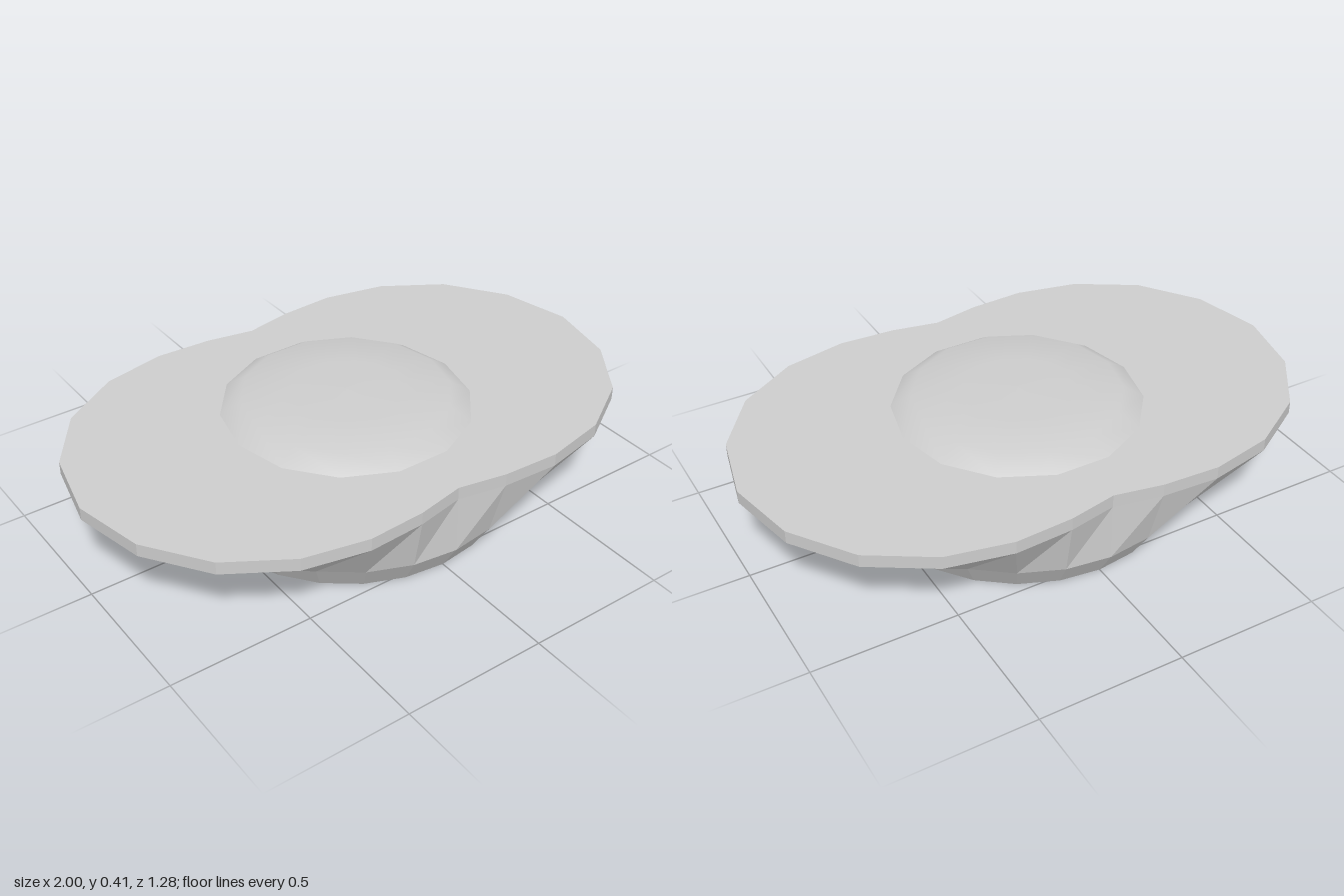
import * as THREE from 'three';

const SIDES = 24;
// Rim radius every 15 degrees, from the long axis (x) to the waist (z)
const RIM = [1, 0.978, 0.923, 0.836, 0.737, 0.65, 0.595];
const rimRadius = (i) => {
  const k = i % 12;
  return RIM[k <= 6 ? k : 12 - k];
};

// Flat-faced skin through a stack of rings, listed from bottom to top
function loft(rings) {
  const pos = [];
  const point = ([y, radius], i) => {
    const a = (i % SIDES) / SIDES * Math.PI * 2;
    const r = radius(i % SIDES);
    return [Math.cos(a) * r, y, Math.sin(a) * r];
  };
  for (let j = 0; j < rings.length - 1; j++) {
    const [low, high] = [rings[j], rings[j + 1]];
    for (let i = 0; i < SIDES; i++) {
      const a = point(low, i), b = point(low, i + 1);
      const c = point(high, i), d = point(high, i + 1);
      if (low[1](i) > 0) pos.push(...a, ...c, ...b);
      if (high[1](i) > 0) pos.push(...b, ...c, ...d);
    }
  }
  const geo = new THREE.BufferGeometry();
  geo.setAttribute('position', new THREE.Float32BufferAttribute(pos, 3));
  geo.computeVertexNormals();
  return geo;
}

export function createModel() {
  const group = new THREE.Group();
  const grey = new THREE.MeshStandardMaterial({ color: 0xcccccc });
  grey.name = 'light grey';

  const add = (name, geometry) => {
    const mesh = new THREE.Mesh(geometry, grey);
    mesh.name = name;
    group.add(mesh);
  };
  const circle = (r) => () => r;

  // Round foot flaring into a two-lobed plate with a thin upright rim
  add('hull', loft([
    [0, circle(0)],
    [0, circle(0.538)],
    [0.1, circle(0.6)],
    [0.3, rimRadius],
    [0.345, rimRadius],
    [0.345, circle(0)],
  ]));

  // Shallow smooth dome on top
  const profile = [[0.43, 0.345], [0.36, 0.39], [0.19, 0.401], [0, 0.405]]
    .map(([x, y]) => new THREE.Vector2(x, y));
  add('dome', new THREE.LatheGeometry(profile, 14, Math.PI / 2));

  return group;
}
